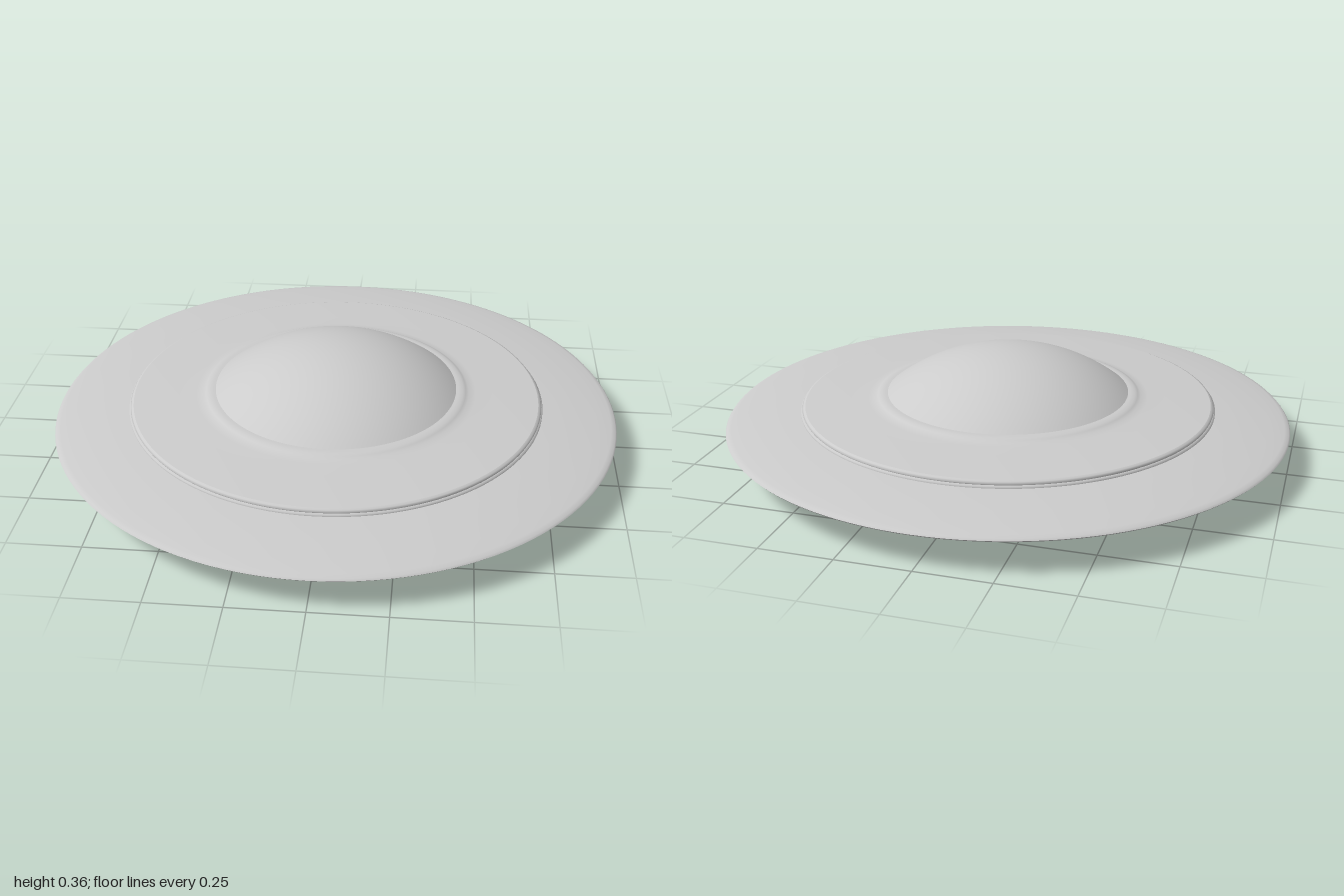
import * as THREE from 'three';

const material = new THREE.MeshStandardMaterial({ color: 0xcccccc, side: THREE.DoubleSide });

// Revolve a profile of [radius, height] points, listed from bottom to top
function revolve(name, profile) {
  const points = profile.map(([r, y]) => new THREE.Vector2(r, y));
  const mesh = new THREE.Mesh(new THREE.LatheGeometry(points, 128), material);
  mesh.name = name;
  return mesh;
}

// Spherical cap profile, from its edge to its top
function capProfile(radius, base, height, steps = 24) {
  const R = (radius * radius + height * height) / (2 * height);
  const edge = Math.asin(radius / R);
  return Array.from({ length: steps + 1 }, (_, i) => {
    const a = edge * (1 - i / steps);
    return [R * Math.sin(a), base + height - R + R * Math.cos(a)];
  });
}

export function createModel() {
  const saucer = new THREE.Group();
  saucer.name = 'saucer';

  saucer.add(
    // Shallow belly with a rounded edge
    revolve('belly', [
      [0, 0], [0.55, 0.001], [0.6, 0.003], [0.635, 0.008], [0.67, 0.016], [0.705, 0.028],
      [0.735, 0.043], [0.753, 0.057], [0.762, 0.068], [0.762, 0.074], [0.755, 0.08],
    ]),
    // Thin outer disc
    revolve('rimUnderside', [
      [0.74, 0.079], [0.8, 0.083], [0.87, 0.092], [0.94, 0.102], [0.98, 0.11], [0.995, 0.115], [1, 0.12],
    ]),
    revolve('rimTop', [
      [1, 0.12], [0.995, 0.126], [0.98, 0.131], [0.93, 0.139], [0.86, 0.149], [0.79, 0.157], [0.72, 0.163],
    ]),
    // Raised inner deck with a stepped edge
    revolve('deckStep', [[0.738, 0.16], [0.738, 0.168], [0.73, 0.17]]),
    revolve('deckEdge', [[0.73, 0.168], [0.733, 0.174], [0.729, 0.18], [0.722, 0.183]]),
    revolve('deck', [
      [0.722, 0.183], [0.65, 0.188], [0.56, 0.193], [0.5, 0.196], [0.475, 0.199], [0.465, 0.205],
      [0.455, 0.209], [0.44, 0.211], [0.42, 0.21],
    ]),
    // Cockpit dome
    revolve('dome', capProfile(0.435, 0.207, 0.151)),
  );
  return saucer;
}
